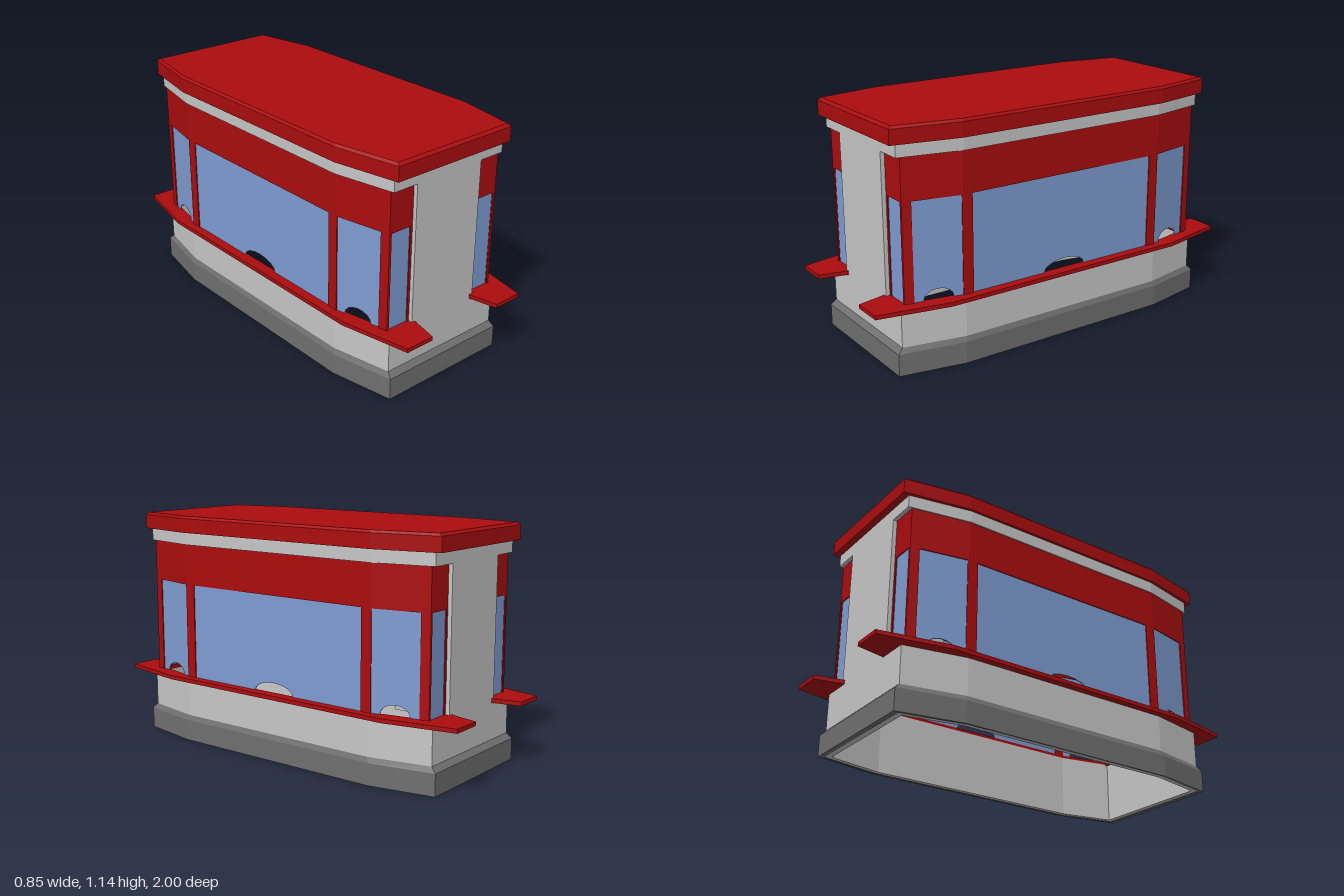
import * as THREE from 'three';
import { ConvexGeometry } from 'three/addons/geometries/ConvexGeometry.js';

const mat = (name, color) => {
  const m = new THREE.MeshStandardMaterial({ color, flatShading: true, side: THREE.DoubleSide });
  m.name = name;
  return m;
};

// Stretched octagon outline: half width, half length, half width of the ends, z of the side corner
const oct = (x, z, xe, zk) => [
  [xe, z], [x, zk], [x, -zk], [xe, -z], [-xe, -z], [-x, -zk], [-x, zk], [-xe, z],
];
const toShape = (pts) => new THREE.Shape(pts.map(([x, y]) => new THREE.Vector2(x, y)));

// Horizontal slab between two heights, with an optional hole
function slab(pts, y0, y1, hole) {
  const shape = toShape(pts);
  if (hole) shape.holes.push(toShape(hole));
  const g = new THREE.ExtrudeGeometry(shape, { depth: y1 - y0, bevelEnabled: false });
  return g.rotateX(-Math.PI / 2).translate(0, y0, 0);
}

// Open band joining outlines stacked as [outline, height]
function loft(levels) {
  const pos = [];
  for (let k = 0; k < levels.length - 1; k++) {
    const [a, ya] = levels[k], [b, yb] = levels[k + 1];
    for (let i = 0; i < a.length; i++) {
      const j = (i + 1) % a.length;
      const p = [a[i][0], ya, a[i][1]], q = [a[j][0], ya, a[j][1]];
      const r = [b[j][0], yb, b[j][1]], s = [b[i][0], yb, b[i][1]];
      pos.push(...p, ...q, ...r, ...p, ...r, ...s);
    }
  }
  const g = new THREE.BufferGeometry();
  g.setAttribute('position', new THREE.Float32BufferAttribute(pos, 3));
  g.computeVertexNormals();
  return g;
}

export function createModel() {
  const red = mat('red trim', 0xac0d0f);
  const wall = mat('light grey wall', 0xc8c8c8);
  const stone = mat('dark grey base', 0x707070);
  const glass = mat('blue glass', 0x7f9dd3);

  const model = new THREE.Group();
  model.name = 'kiosk';
  const add = (parent, name, geometry, material) => {
    const m = new THREE.Mesh(geometry, material);
    m.name = name;
    parent.add(m);
    return m;
  };

  const outer = oct(0.39, 0.86, 0.33, 0.56);
  const inner = oct(0.365, 0.83, 0.31, 0.56);
  const foot = oct(0.4, 0.885, 0.34, 0.57);

  // Plinth with a sloped top edge, open underneath
  add(model, 'base', loft([[outer, 0], [foot, 0], [foot, 0.105], [outer, 0.13]]), stone);
  add(model, 'lowerWall', slab(outer, 0.002, 0.315, inner), wall);
  add(model, 'upperWall', slab(outer, 1.0, 1.062, inner), wall);

  // Roof with a small bevel around the top
  const roofPts = [];
  for (const [ring, y] of [
    [oct(0.402, 0.893, 0.34, 0.57), 1.06],
    [oct(0.402, 0.893, 0.34, 0.57), 1.13],
    [oct(0.392, 0.878, 0.332, 0.565), 1.142],
  ]) for (const [x, z] of ring) roofPts.push(new THREE.Vector3(x, y, z));
  add(model, 'roof', new ConvexGeometry(roofPts), red);

  // End pillars with side partitions running inwards
  for (const s of [1, -1]) {
    add(model, 'endPanel', new THREE.BoxGeometry(0.39, 0.69, 0.03), wall).position.set(0, 0.655, s * 0.845);
    for (const x of [-0.19, 0.19])
      add(model, 'partition', new THREE.BoxGeometry(0.01, 0.69, 0.26), wall).position.set(x, 0.655, s * 0.7);
  }

  // One window bay from a to b: n-shaped frame and a pane with a serving hatch cut in its lower edge
  function bay(a, b, postA, postB, hatch) {
    const g = new THREE.Group();
    g.name = 'windowBay';
    const dx = b[0] - a[0], dz = b[1] - a[1], L = Math.hypot(dx, dz);
    const lo = 0.325, mid = 0.8, top = 1.0;
    const frame = toShape([
      [0, lo], [postA, lo], [postA, mid], [L - postB, mid], [L - postB, lo], [L, lo], [L, top], [0, top],
    ]);
    const fg = new THREE.ExtrudeGeometry(frame, { depth: 0.016, bevelEnabled: false });
    add(g, 'windowFrame', fg.translate(0, 0, -0.016), red);

    const c = (postA + L - postB) / 2;
    const pane = [[postA, 0.33]];
    if (hatch) for (let i = 0; i <= 8; i++) {
      const t = Math.PI * (1 - i / 8);
      pane.push([c + hatch * Math.cos(t), 0.33 + 0.05 * Math.sin(t)]);
    }
    pane.push([L - postB, 0.33], [L - postB, mid], [postA, mid]);
    const pg = new THREE.ExtrudeGeometry(toShape(pane), { depth: 0.005, bevelEnabled: false });
    add(g, 'windowPane', pg.translate(0, 0, -0.01), glass);

    g.position.set(a[0], 0, a[1]);
    g.rotation.y = Math.atan2(-dz, dx);
    return g;
  }

  // Each long side wraps round onto both ends; the second side is the first turned about
  const path = [[0.195, 0.84], [0.328, 0.84], [0.384, 0.565], [0.384, -0.565], [0.328, -0.84], [0.195, -0.84]];
  const bays = [
    [0.012, 0.012, 0], [0.045, 0.004, 0.072], [0.05, 0.05, 0.118], [0.004, 0.045, 0.072], [0.012, 0.012, 0],
  ];
  const shelf = [
    [0.175, 0.855], [0.207, 1], [0.357, 1], [0.425, 0.655], [0.425, -0.655], [0.357, -1], [0.207, -1], [0.175, -0.855],
    [0.19, -0.82], [0.315, -0.82], [0.368, -0.56], [0.368, 0.56], [0.315, 0.82], [0.19, 0.82],
  ];
  for (const turn of [0, Math.PI]) {
    const side = new THREE.Group();
    side.name = turn ? 'rightSide' : 'leftSide';
    bays.forEach((p, i) => side.add(bay(path[i], path[i + 1], ...p)));
    add(side, 'counterShelf', slab(shelf, 0.31, 0.33), red);
    side.rotation.y = turn;
    model.add(side);
  }
  return model;
}
